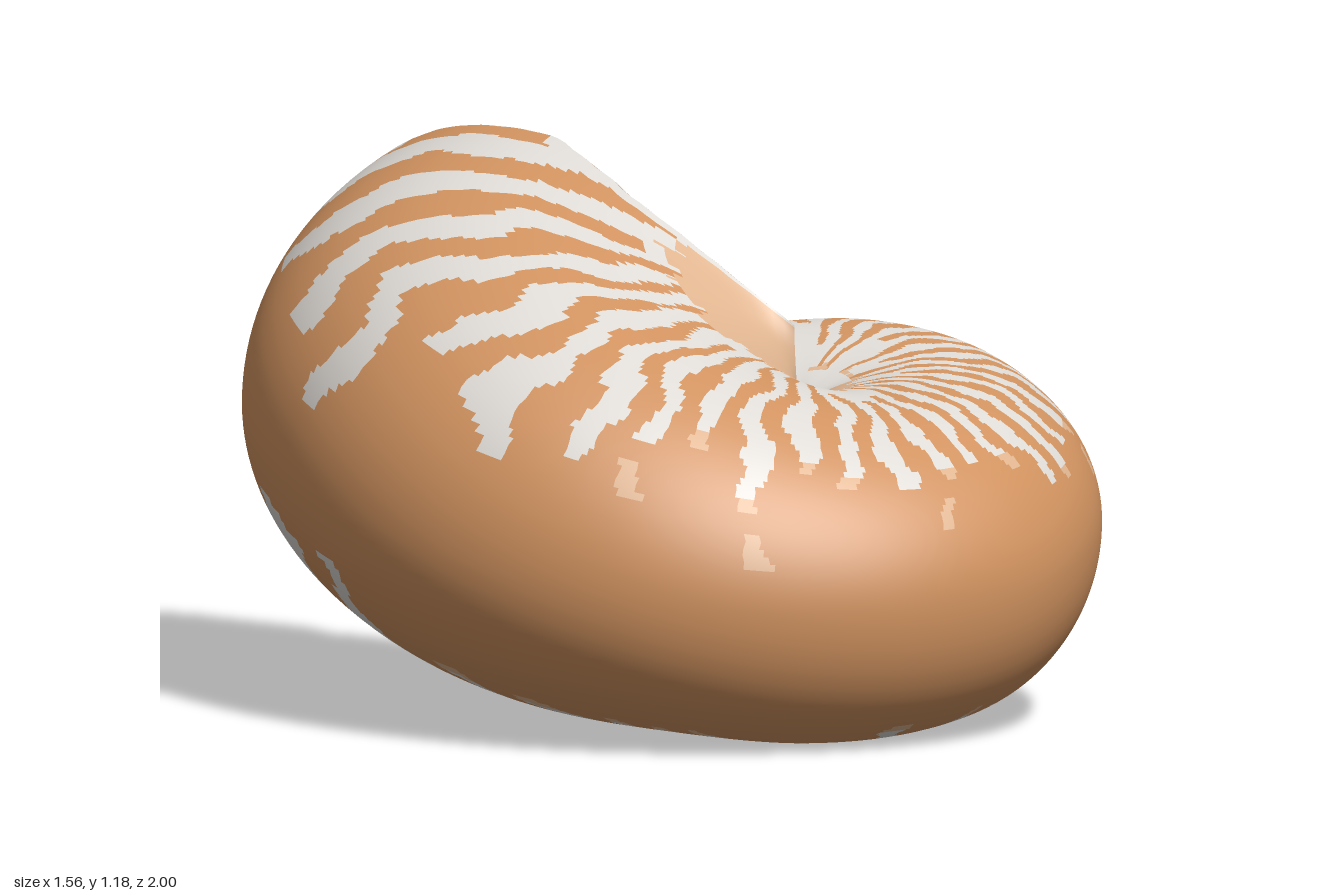
import * as THREE from 'three';

const mat = (name, color, extra = {}) => {
  const m = new THREE.MeshStandardMaterial({ color, ...extra });
  m.name = name;
  return m;
};

// Growth of the whorl: angle back from the lip -> [radius, upper half width, lower half width]
const GROWTH = [
  [-20, 1.38, 0.60, 0.50], [0, 1.32, 0.58, 0.49], [25, 1.21, 0.535, 0.465],
  [45, 1.09, 0.50, 0.435], [75, 0.945, 0.44, 0.405], [100, 0.845, 0.39, 0.385],
  [130, 0.75, 0.335, 0.385], [160, 0.695, 0.305, 0.378], [180, 0.675, 0.30, 0.37],
  [205, 0.65, 0.295, 0.36], [235, 0.645, 0.285, 0.345], [265, 0.645, 0.28, 0.32],
  [290, 0.615, 0.27, 0.30], [315, 0.575, 0.25, 0.28], [335, 0.545, 0.235, 0.26],
  [360, 0.50, 0.21, 0.24], [460, 0.36, 0.14, 0.16],
];
const growth = new THREE.CubicInterpolant(
  GROWTH.map((g) => g[0]), GROWTH.flatMap((g) => g.slice(1)), 3, new Float32Array(3));

const { clamp, lerp } = THREE.MathUtils;
const hash = (k) => {
  const v = Math.sin(k * 127.1 + 11.7) * 43758.5453;
  return v - Math.floor(v);
};
const wave = (a, b) => (Math.sin(a * 1.3 + b * 2.1) + Math.sin(a * 2.9 - b * 3.7 + 1)
  + Math.sin(a * 0.7 + b * 5.3 + 2)) / 3;

// Whorl section, s = 1 (upper axis) .. 0 (keel) .. -1 (lower axis): radius and height fractions
function section(s) {
  const p = Math.abs(s), a = (p / 0.6) * Math.PI / 2, b = (p - 0.6) / 0.4;
  return p <= 0.6
    ? [0.5 + 0.5 * Math.cos(a), Math.sign(s) * Math.sin(a)]
    : [0.5 * (1 - b) + 0.005, Math.sign(s) * (1 - (s > 0 ? 0.33 : 0.4) * b * b)];
}

// Point on the shell, t = degrees back from the lip
function shellPoint(t, s, shrink = 0) {
  const [r, up, low] = growth.evaluate(t), [fr, fh] = section(s);
  return place(t, (r - shrink) * fr, ((s > 0 ? up : low) - shrink) * fh);
}

// The coil lies in a gently tilted plane
function place(t, rho, h) {
  const a = THREE.MathUtils.degToRad(t);
  const x = 0.13 - rho * Math.sin(a), z = 0.32 - rho * Math.cos(a);
  return [x, 0.515 - 0.185 * z + 0.098 * x + h, z];
}

// Slanted, slightly ragged mouth edge
function lipAngle(s) {
  const slant = s < 0 ? -12 * Math.sin(Math.PI * -s) : 24 * Math.max(0, s - 0.62) / 0.38;
  return slant + 0.5 * wave(s * 37, 1) + 0.3 * wave(s * 90, 4);
}

// Painted pattern: 0 orange, 1 white, 2 tan
function patternAt(t, s) {
  const p = Math.abs(s), side = s > 0 ? 0 : 500;
  const fade = t > 325 ? 2 : 1;
  // callus on the inner whorl and tan funnel around the axis
  if (t > 300 && p > 0.58 + 0.03 * wave(t / 9, 2)) return 1;
  if (t > 225 && p > 0.86) return 1;
  const fromLip = t - lipAngle(s);
  if (s > 0.6 && fromLip < 3) return 1;
  if (p > (t > 25 && t < 170 ? 0.81 : 0.85) + 0.025 * wave(t / 6, 0)) return 2;
  // pale band along the lip
  if (s < 0.36 && fromLip < (s < -0.15 ? 6 : 2.5) + 1.5 * wave(s * 9, 3)) return 1;
  // forking stripes
  const calm = clamp(t / 45, 0.25, 1);
  const along = (t < 90 ? t / 14 : 90 / 14 + (t - 90) / 10)
    + calm * (0.34 * wave(t / 16 + side, s * 5) + 0.12 * wave(t / 4, s * 12 + side));
  const k = Math.floor(along), f = Math.abs(along - k - 0.5);
  const near = clamp((75 - t) / 75, 0, 1);
  const belly = 0.17 * clamp(1.6 - Math.abs(t - 165) / 60, 0, 1);
  const end = (s > 0 ? 0.15 : 0.15 + belly) + 0.2 * hash(k + side) - 0.12 * near;
  const taper = clamp((p - end) / 0.1, 0, 1);
  const width = (0.25 + 0.05 * wave(t / 7, s * 11)) * (0.5 + 0.5 * Math.sqrt(taper))
    + 0.06 * clamp((p - 0.55) / 0.25, 0, 1) * clamp(t / 70, 0, 1);
  if (p < end) {
    const stray = s > 0 && hash(k + 70) > 0.75 && p > end - 0.12 && p < end - 0.04;
    return stray && f < 0.16 ? 2 : 0;
  }
  if (f < width) return p < end + 0.04 && hash(k + side + 40) > 0.5 ? 2 : fade;
  const gap = Math.round(along);
  const fork = (t < 70 ? 0.74 : 0.63) + 0.13 * hash(gap + 7);
  return p > fork && hash(gap + side + 90) > 0.55 ? fade : 0;
}

// Outer wall, a swept section whose faces are sorted by colour
function outerWall() {
  const N = 520, M = 128, END = 428, pos = [], faces = [[], [], []];
  const angle = (i, s) => lerp(lipAngle(s), END, i / N);
  for (let i = 0; i <= N; i++) {
    for (let j = 0; j <= M; j++) {
      const s = 1 - 2 * j / M;
      pos.push(...shellPoint(angle(i, s), s));
    }
  }
  for (let i = 0; i < N; i++) {
    for (let j = 0; j < M; j++) {
      const s = 1 - 2 * (j + 0.5) / M;
      const a = i * (M + 1) + j, b = a + M + 1;
      faces[patternAt(angle(i + 0.5, s), s)].push(a, a + 1, b, a + 1, b + 1, b);
    }
  }
  const geo = new THREE.BufferGeometry();
  geo.setAttribute('position', new THREE.Float32BufferAttribute(pos, 3));
  geo.setIndex(faces.flat());
  let start = 0;
  faces.forEach((f, c) => {
    geo.addGroup(start, f.length, c);
    start += f.length;
  });
  geo.computeVertexNormals();
  return geo;
}

// Mouth lining: thin rough inner wall and an upright closing partition, faceted
function lining() {
  const N = 12, M = 72, pos = [], idx = [];
  for (let i = 0; i <= N; i++) {
    for (let j = 0; j <= M; j++) {
      const s = 1 - 2 * j / M, lip = lipAngle(s);
      if (i === N) pos.push(...place(22, 0.75, 0.03));
      else {
        const back = THREE.MathUtils.radToDeg(Math.asin(Math.min(0.68, 0.23 / section(s)[0])));
        const t = lerp(lip, Math.max(lip + 4, back), i / (N - 1));
        const rough = 0.012 * wave(i * 2.7, j * 1.9);
        pos.push(...shellPoint(t, s, i === 0 ? 0 : 0.012 + 0.03 * i / N + rough));
      }
    }
  }
  for (let i = 0; i < N; i++) {
    for (let j = 0; j < M; j++) {
      const a = i * (M + 1) + j, b = a + M + 1;
      idx.push(a, b, a + 1);
      if (i < N - 1) idx.push(a + 1, b, b + 1);
    }
  }
  const indexed = new THREE.BufferGeometry();
  indexed.setAttribute('position', new THREE.Float32BufferAttribute(pos, 3));
  indexed.setIndex(idx);
  const geo = indexed.toNonIndexed();
  geo.computeVertexNormals();
  return geo;
}

export function createModel() {
  const group = new THREE.Group();
  group.name = 'spiralShell';
  const both = { side: THREE.DoubleSide };
  const orange = mat('shellOrange', 0xd0925f, both);
  const white = mat('stripeWhite', 0xdedad5, both);
  const tan = mat('fadedTan', 0xdfb48f, both);
  const cream = mat('liningCream', 0xd6bfae, both);

  const wall = new THREE.Mesh(outerWall(), [orange, white, tan]);
  wall.name = 'stripedOuterWall';
  const inside = new THREE.Mesh(lining(), cream);
  inside.name = 'mouthLining';
  group.add(wall, inside);

  // Rest the shell on the ground
  group.position.y = -new THREE.Box3().setFromObject(group).min.y;
  return group;
}
